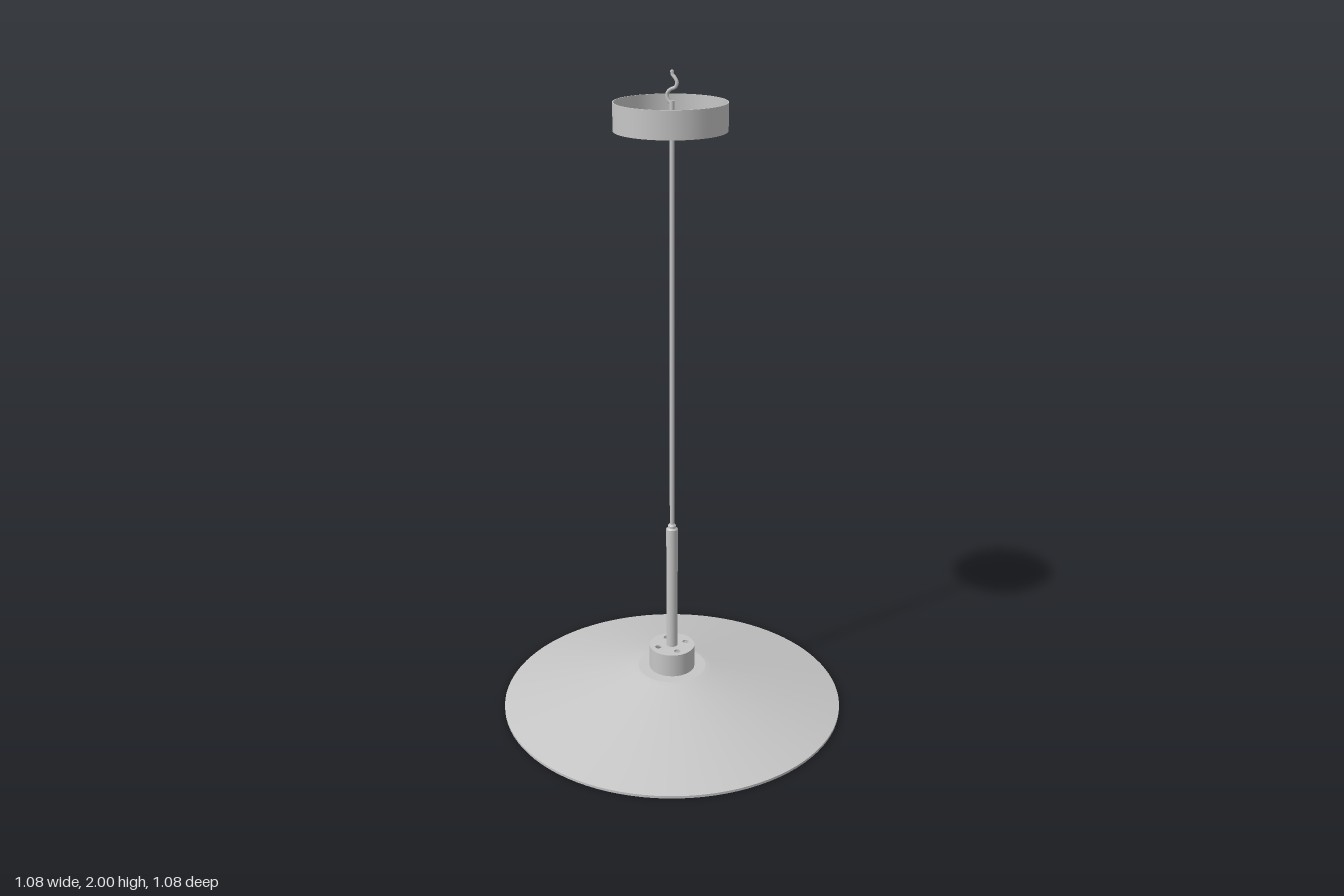
import * as THREE from 'three';
import { mergeGeometries } from 'three/addons/utils/BufferGeometryUtils.js';

// Lathe with a crisp edge at every profile point; points run so the outside lies to their right.
function creasedLathe(points, sides = 64) {
  const bands = [];
  for (let i = 0; i + 1 < points.length; i++) {
    const pair = [points[i], points[i + 1]].map(([r, y]) => new THREE.Vector2(r, y));
    bands.push(new THREE.LatheGeometry(pair, sides));
  }
  return mergeGeometries(bands);
}

export function createModel() {
  const lamp = new THREE.Group();
  lamp.name = 'pendantLamp';
  const metal = new THREE.MeshStandardMaterial({ color: 0xc6c6c6, side: THREE.DoubleSide });
  metal.name = 'light grey';

  const add = (name, geometry, parent = lamp) => {
    const mesh = new THREE.Mesh(geometry, metal);
    mesh.name = name;
    parent.add(mesh);
    return mesh;
  };

  // Wide thin conical shade with a small rolled lip and a flat crown
  add('shade', creasedLathe([
    [0.105, 0.116], [0.12, 0.113], [0.534, 0.004], [0.534, 0], [0.54, 0],
    [0.54, 0.008], [0.122, 0.119], [0.108, 0.122], [0.06, 0.122],
  ], 96));

  // Bulb housing under the shade: tapered ring, inner wall and recessed lens
  add('bulbHousing', creasedLathe([
    [0, 0.07], [0.066, 0.07], [0.074, 0.045], [0.085, 0.045], [0.108, 0.118],
  ]));

  // Collar on the crown, its lid pierced by vent holes
  add('collarWall', creasedLathe([[0.072, 0.12], [0.072, 0.195]]));
  const lid = new THREE.Shape().absarc(0, 0, 0.072, 0, Math.PI * 2);
  for (let i = 0; i < 4; i++) {
    const a = Math.PI / 4 + i * Math.PI / 2;
    const hole = new THREE.Path();
    hole.absarc(0.047 * Math.cos(a), 0.047 * Math.sin(a), 0.01, 0, Math.PI * 2, true);
    lid.holes.push(hole);
  }
  const lidGeometry = new THREE.ExtrudeGeometry(lid, { depth: 0.005, bevelEnabled: false, curveSegments: 32 });
  lidGeometry.rotateX(-Math.PI / 2);
  add('collarLid', lidGeometry).position.y = 0.192;

  // Stem with a stepped tip
  add('stem', creasedLathe([
    [0.018, 0.19], [0.018, 0.605], [0.013, 0.61], [0.013, 0.617], [0.009, 0.622], [0, 0.622],
  ], 32));

  // Suspension cord
  const cord = new THREE.CylinderGeometry(0.007, 0.007, 1.295, 16);
  add('cord', cord).position.y = 1.2675;

  // Ceiling canopy: a cup open at the top, slightly off centre
  const canopy = new THREE.Group();
  canopy.name = 'canopy';
  canopy.position.z = 0.01;
  lamp.add(canopy);
  add('canopyCup', creasedLathe([
    [0, 1.834], [0.162, 1.834], [0.162, 1.914], [0.159, 1.914], [0.159, 1.838], [0, 1.838],
  ]), canopy);

  // Cord grip below the canopy
  add('cordGrip', creasedLathe([
    [0, 1.812], [0.012, 1.812], [0.019, 1.82], [0.019, 1.836],
  ], 32));

  // S-shaped ceiling hook
  const path = new THREE.CatmullRomCurve3([
    [0, 1.905], [-0.012, 1.918], [-0.015, 1.934], [-0.005, 1.946], [0.01, 1.953],
    [0.015, 1.965], [0.009, 1.978], [0.001, 1.987], [0, 1.998],
  ].map(([x, y]) => new THREE.Vector3(x, y, 0)));
  add('hook', new THREE.TubeGeometry(path, 48, 0.005, 10));
  add('hookTip', new THREE.SphereGeometry(0.005, 10, 8)).position.y = 1.995;

  return lamp;
}
